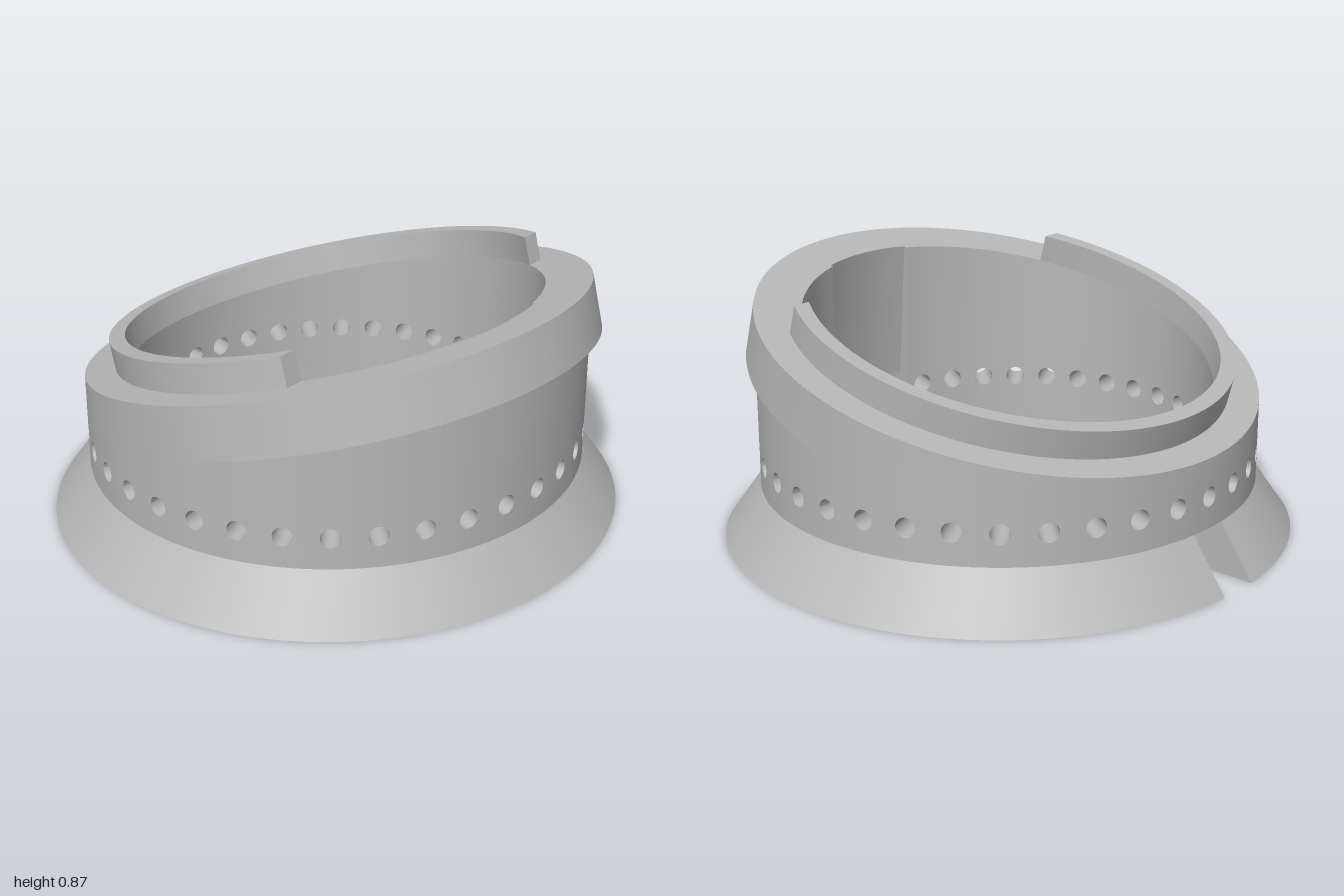
import * as THREE from 'three';
import { mergeGeometries } from 'three/addons/utils/BufferGeometryUtils.js';

const TAU = Math.PI * 2, PI = Math.PI;
const TILT = Math.PI / 12, C = Math.cos(TILT), S = Math.sin(TILT);
const R_OUT = 0.87, R_IN = 0.71, MID = 0.646;      // wall radii, height of the sloped rim's centre
const SLOT = 0.075, STEP = 0.18, FLOOR = 0.05;     // slot half width, skirt height, floor thickness
const LOW = 0.25, HIGH = 0.33, HOLE_Y = 0.289, HOLE_R = 0.034; // perforated band
const HALF = PI / 12;                              // half angle of the inner pocket
const pocketR = y => 0.72 + (0.83 - y) * 0.1;

// Angle 0 is the back, PI the front. The upright body is an ellipse, so that its sloped rim is a circle.
const at = (r, y) => p => new THREE.Vector3(r * Math.sin(p), y, -C * r * Math.cos(p));
const tilted = (r, h) => p => new THREE.Vector3(
  r * Math.sin(p), MID - S * r * Math.cos(p) + h * C, -C * r * Math.cos(p) - h * S);
// Same as at(), but leaving the slot open at the back
const slotted = (r, y) => p => {
  const a = Math.asin(SLOT / r);
  return at(r, y)(a + p * (1 - 2 * a / TAU));
};

function surface(positions, index) {
  const g = new THREE.BufferGeometry();
  g.setAttribute('position', new THREE.Float32BufferAttribute(positions, 3));
  g.setIndex(index);
  g.computeVertexNormals();
  return g;
}

// Joins successive loops by strips, with a sharp edge at each loop
function loft(loops, from = 0, to = TAU, n = 144) {
  const strips = [];
  for (let k = 0; k + 1 < loops.length; k++) {
    const pos = [], idx = [];
    for (let i = 0; i <= n; i++) {
      const p = from + (to - from) * i / n;
      pos.push(...loops[k](p).toArray(), ...loops[k + 1](p).toArray());
      if (i < n) {
        const a = 2 * i;
        idx.push(a, a + 1, a + 2, a + 1, a + 3, a + 2);
      }
    }
    strips.push(surface(pos, idx));
  }
  return mergeGeometries(strips);
}

const quad = (...pts) => surface(pts.flatMap(v => v.toArray()), [0, 1, 2, 0, 2, 3]);

// One ten degree panel of the band, pierced by a hole and bent round the wall
function panel(centre, radius, side) {
  const w = PI / 36, shape = new THREE.Shape(), hole = new THREE.Path();
  const pts = [];
  for (let i = 0; i <= 4; i++) pts.push(new THREE.Vector2(-w + i * w / 2, LOW));
  for (let i = 0; i <= 4; i++) pts.push(new THREE.Vector2(w - i * w / 2, HIGH));
  shape.setFromPoints(pts);
  const ring = [];
  for (let i = 0; i < 20; i++) {
    const a = -i / 20 * TAU;
    ring.push(new THREE.Vector2(HOLE_R / radius(HOLE_Y) * Math.cos(a), HOLE_Y + HOLE_R * Math.sin(a)));
  }
  hole.setFromPoints(ring);
  shape.holes.push(hole);
  const g = new THREE.ShapeGeometry(shape);
  g.deleteAttribute('uv');
  const pos = g.attributes.position, nor = g.attributes.normal;
  for (let i = 0; i < pos.count; i++) {
    const p = centre - side * pos.getX(i), y = pos.getY(i);
    const v = at(radius(y), y)(p);
    const n = new THREE.Vector3(Math.sin(p), 0, -Math.cos(p) / C).normalize().multiplyScalar(side);
    pos.setXYZ(i, v.x, v.y, v.z);
    nor.setXYZ(i, n.x, n.y, n.z);
  }
  return g;
}

export function createModel() {
  const model = new THREE.Group();
  const grey = new THREE.MeshStandardMaterial({ color: 0xb8b8b8, side: THREE.DoubleSide });
  grey.name = 'grey';
  const add = (name, ...parts) => {
    const mesh = new THREE.Mesh(parts.length > 1 ? mergeGeometries(parts) : parts[0], grey);
    mesh.name = name;
    model.add(mesh);
  };

  // Flared skirt with the slot's side faces
  const section = [[R_IN, 0], [1, 0], [R_OUT, STEP], [R_IN, STEP]];
  add('flaredSkirt',
    loft([[R_IN, STEP], ...section.slice(0, 3)].map(([r, y]) => slotted(r, y))),
    quad(...section.map(([r, y]) => slotted(r, y)(0))),
    quad(...section.map(([r, y]) => slotted(r, y)(TAU)).reverse()));

  // Floor plate with the radial slot
  const outline = [];
  const gap = Math.asin(SLOT / R_IN);
  for (let i = 0; i <= 96; i++) {
    const p = gap + (TAU - 2 * gap) * i / 96;
    outline.push(new THREE.Vector2(R_IN * Math.sin(p), C * R_IN * Math.cos(p)));
  }
  outline.push(new THREE.Vector2(-SLOT, 0), new THREE.Vector2(SLOT, 0));
  const floor = new THREE.ExtrudeGeometry(new THREE.Shape(outline), { depth: FLOOR, bevelEnabled: false });
  floor.rotateX(-PI / 2);
  add('floor', floor);

  // Wall below and above the holes, with the sloped rim
  add('outerWall',
    loft([at(R_IN, STEP), at(R_OUT, STEP)]),
    loft([at(R_OUT, STEP), at(R_OUT, LOW)]),
    loft([at(R_OUT, HIGH), tilted(R_OUT, 0)]));
  add('innerWall',
    loft([tilted(R_OUT, 0), tilted(R_IN, 0), at(R_IN, HIGH)], HALF - PI, PI - HALF),
    loft([at(R_IN, LOW), at(R_IN, STEP)]));

  // Shallow pocket inside the front
  const sides = [PI - HALF, PI + HALF].map(p => quad(at(R_IN, LOW)(p),
    at(pocketR(LOW), LOW)(p), tilted(0.72, 0)(p), tilted(R_IN, 0)(p)));
  add('innerPocket',
    loft([tilted(R_OUT, 0), tilted(0.72, 0), at(pocketR(HIGH), HIGH)], PI - HALF, PI + HALF, 12),
    loft([at(pocketR(LOW), LOW), at(R_IN, LOW)], PI - HALF, PI + HALF, 12),
    ...sides);

  // Ring of 36 holes
  const panels = [], bores = [];
  for (let k = 0; k < 36; k++) {
    const centre = k * PI / 18;
    const inner = Math.abs(k - 18) <= 1 ? pocketR : () => R_IN;
    panels.push(panel(centre, () => R_OUT, 1), panel(centre, inner, -1));
    const edge = radius => a => {
      const y = HOLE_Y + HOLE_R * Math.sin(a);
      return at(radius(y), y)(centre + HOLE_R / radius(HOLE_Y) * Math.cos(a));
    };
    bores.push(loft([edge(() => R_OUT), edge(inner)], 0, TAU, 20));
  }
  add('perforatedBand', ...panels);
  add('holeBores', ...bores);

  // Tilted collar standing proud at the front
  const under = p => at(R_OUT, tilted(R_OUT, 0)(p).y - 0.18 / C)(p);
  add('tiltedCollar',
    loft([under, tilted(R_OUT, -0.18), tilted(R_OUT, 0)], PI / 2, PI * 1.5, 72));

  // Raised lip round the back of the rim, cut straight at both ends
  const lip = (r, h) => t => tilted(r, h)(t * Math.acos(-0.38 / r));
  const corners = [[0.765, 0], [0.765, 0.1], [R_IN, 0.1], [R_IN, 0]].map(([r, h]) => lip(r, h));
  add('raisedLip',
    loft(corners, -1, 1, 96),
    quad(...corners.map(c => c(1)).reverse()),
    quad(...corners.map(c => c(-1))));

  return model;
}
